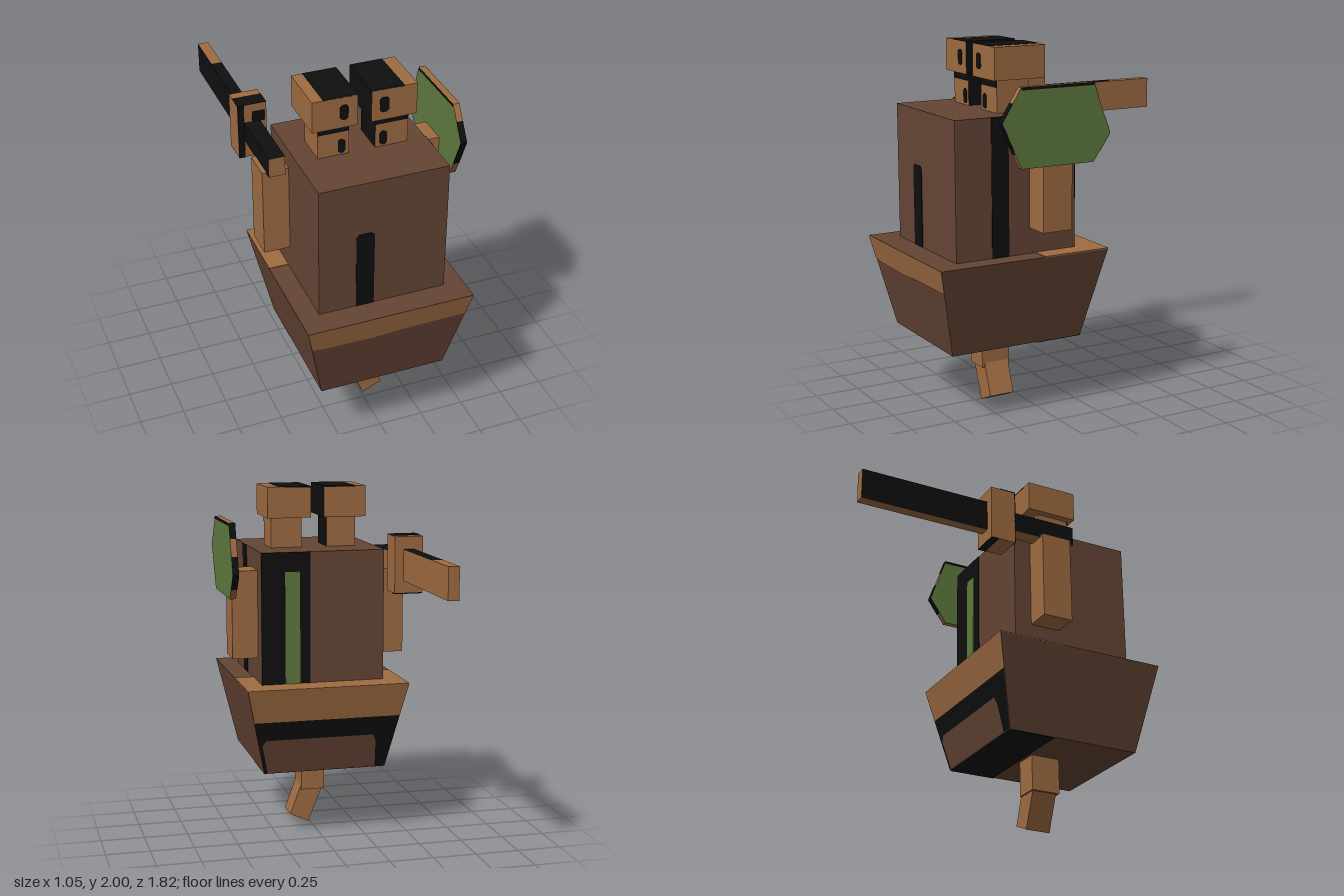
import * as THREE from 'three';

const mat = (name, color) => {
  const m = new THREE.MeshStandardMaterial({ color });
  m.name = name;
  return m;
};

export function createModel() {
  const root = new THREE.Group();
  const bark = mat('darkBrown', 0x664535);
  const wood = mat('lightBrown', 0xa06c42);
  const black = mat('black', 0x0f0f0f);
  const green = mat('green', 0x5f7b3f);

  const add = (name, geo, material, parent = root) => {
    const m = new THREE.Mesh(geo, material);
    m.name = name;
    parent.add(m);
    return m;
  };
  // Box from its limits; material may be an array in the order +x -x +y -y +z -z
  const box = (name, [x0, x1], [y0, y1], [z0, z1], material, parent) => {
    const m = add(name, new THREE.BoxGeometry(x1 - x0, y1 - y0, z1 - z0), material, parent);
    m.position.set((x0 + x1) / 2, (y0 + y1) / 2, (z0 + z1) / 2);
    return m;
  };
  const polygon = (pts) => new THREE.Shape(pts.map(([x, y]) => new THREE.Vector2(x, y)));
  // Painted plate with cut corners, facing +z
  const plate = (name, [x0, x1], [y0, y1], z, c, bottomCut = 0) => {
    const b = bottomCut;
    const s = polygon([[x0 + b, y0], [x1 - b, y0], [x1, y0 + b], [x1, y1 - c],
      [x1 - c, y1], [x0 + c, y1], [x0, y1 - c], [x0, y0 + b]]);
    const m = add(name, new THREE.ExtrudeGeometry(s, { depth: 0.004, bevelEnabled: false }), black);
    m.position.z = z;
  };

  // Tapered base
  const cx = -0.015, cz = 0.41;
  const halfX = (y) => 0.355 + (y - 0.4) * 0.22;
  const halfZ = (y) => 0.39 + (y - 0.4) * 0.22;
  const base = new THREE.BoxGeometry(2, 0.5, 2).translate(0, 0.65, 0);
  const bp = base.attributes.position;
  for (let i = 0; i < bp.count; i++) {
    const y = bp.getY(i);
    bp.setXYZ(i, cx + bp.getX(i) * halfX(y), y, cz + bp.getZ(i) * halfZ(y));
  }
  base.computeVertexNormals();
  add('base', base, bark);

  // Painted panels lying on the sloping front (side 1) or back (side -1) of the base
  const basePanel = (name, pts, side, lift, material) => {
    const g = new THREE.ShapeGeometry(polygon(pts));
    const p = g.attributes.position;
    for (let i = 0; i < p.count; i++) {
      const y = p.getY(i);
      p.setXYZ(i, cx + side * p.getX(i) * halfX(y), y, cz + side * (halfZ(y) + lift));
    }
    g.computeVertexNormals();
    add(name, g, material);
  };
  basePanel('frontBand', [[-1, 0.77], [-0.85, 0.76], [-0.2, 0.755], [0.15, 0.765],
    [0.4, 0.768], [1, 0.77], [1, 0.9], [-1, 0.9]], 1, 0.003, wood);
  basePanel('backBand', [[-1, 0.71], [1, 0.71], [1, 0.9], [-1, 0.9]], -1, 0.003, wood);
  basePanel('backDarkArea', [[-1, 0.4], [1, 0.4], [1, 0.71], [-1, 0.71]], -1, 0.003, black);
  basePanel('backPanel', [[-0.95, 0.4], [0.83, 0.4], [0.74, 0.56], [0.68, 0.6],
    [-0.88, 0.6], [-0.95, 0.57]], -1, 0.006, bark);
  box('baseTopPaint', [-0.48, 0.45], [0.897, 0.903], [-0.09, 0.3], wood);
  box('baseUndersidePaint', [-0.37, 0.34], [0.396, 0.402], [0.02, 0.29], black);

  // Peg leg with a bent lower half
  box('upperPeg', [-0.085, 0.055], [0.2, 0.4], [0.31, 0.48], wood);
  const foot = add('lowerPeg', new THREE.ExtrudeGeometry(
    polygon([[0.01, 0], [0.12, 0.05], [0.055, 0.225], [-0.08, 0.225]]),
    { depth: 0.145, bevelEnabled: false }), wood);
  foot.position.z = 0.32;

  // Body with painted stripes
  box('body', [-0.37, 0.34], [0.9, 1.65], [0.06, 0.77], bark);
  plate('frontStripe', [-0.165, -0.065], [0.9, 1.347], 0.769, 0.015);
  box('sideStripe', [0.337, 0.344], [0.9, 1.65], [0.46, 0.56], black);
  box('backStripe', [0.06, 0.34], [0.9, 1.65], [0.056, 0.062], black);
  box('backGreenStripe', [0.12, 0.205], [0.9, 1.54], [0.052, 0.059], green);

  // Pair of stacked heads; the inner faces are dark
  const heads = [
    { side: 'right', top: [-0.3, -0.055], cap: [-0.24, -0.055], neck: [-0.26, -0.09], eye: [-0.15, -0.105], low: [-0.15, -0.11], inner: 0 },
    { side: 'left', top: [0.02, 0.27], cap: [0.02, 0.2], neck: [0.055, 0.235], eye: [0.065, 0.115], low: [0.08, 0.12], inner: 1 },
  ];
  for (const h of heads) {
    const skin = Array(6).fill(wood);
    skin[h.inner] = black;
    box(h.side + 'Neck', h.neck, [1.65, 1.825], [0.28, 0.47], skin);
    box(h.side + 'Head', h.top, [1.825, 2], [0.2, 0.5], skin);
    box(h.side + 'HeadCap', h.cap, [1.995, 2.002], [0.2, 0.5], black);
    box(h.side + 'NeckBand', h.neck, [1.785, 1.825], [0.468, 0.474], black);
    plate(h.side + 'UpperEye', h.eye, [1.87, 1.955], 0.499, 0.012, 0.012);
    plate(h.side + 'LowerEye', h.low, [1.66, 1.74], 0.469, 0.012, 0.012);
  }

  // Arms
  box('rightArm', [-0.515, -0.37], [1.04, 1.54], [0.16, 0.335], wood);
  box('leftArm', [0.34, 0.487], [1.04, 1.54], [0.16, 0.335], wood);

  // Sword pointing backwards
  const sword = new THREE.Group();
  sword.name = 'sword';
  root.add(sword);
  box('handle', [-0.49, -0.4], [1.53, 1.64], [-0.02, 0.37], [wood, black, black, wood, wood, wood], sword);
  box('guard', [-0.525, -0.365], [1.43, 1.745], [-0.165, -0.02], wood, sword);
  box('guardTopPaint', [-0.525, -0.365], [1.742, 1.748], [-0.11, -0.02], black, sword);
  box('guardBottomPaint', [-0.525, -0.365], [1.427, 1.433], [-0.165, -0.12], black, sword);
  box('guardFrontStripe', [-0.525, -0.49], [1.43, 1.745], [-0.022, -0.016], black, sword);
  box('guardFrontSpot', [-0.445, -0.375], [1.64, 1.7], [-0.022, -0.016], black, sword);
  box('blade', [-0.475, -0.415], [1.5, 1.675], [-0.65, -0.16], [wood, black, black, wood, wood, wood], sword);
  box('bladeTip', [-0.475, -0.415], [1.5, 1.675], [-0.91, -0.65], [wood, black, wood, wood, wood, wood], sword);

  // Hexagonal shield: corners as [z, y]
  const shield = new THREE.Group();
  shield.name = 'shield';
  root.add(shield);
  const F = [0.59, 1.645], TF = [0.48, 1.82], TB = [0.05, 1.82];
  const B = [-0.05, 1.545], BB = [0.05, 1.4], BF = [0.48, 1.4];
  const disc = new THREE.ExtrudeGeometry(
    polygon([F, BF, BB, B, TB, TF].map(([z, y]) => [-z, y])),
    { depth: 0.035, bevelEnabled: false }).rotateY(Math.PI / 2);
  add('shieldPlate', disc, [green, wood], shield).position.x = 0.485;
  // Dark marks along parts of the rim
  const rim = [[F, TF, 0, 0.55], [F, BF, 0, 0.68], [B, TB, 0, 0.35], [B, TB, 0.7, 1], [B, BB, 0, 0.6]];
  for (const [a, b, t0, t1] of rim) {
    const dz = b[0] - a[0], dy = b[1] - a[1], t = (t0 + t1) / 2;
    const m = add('rimMark', new THREE.BoxGeometry(0.035, 0.005, Math.hypot(dz, dy) * (t1 - t0)), black, shield);
    m.position.set(0.5025, a[1] + dy * t, a[0] + dz * t);
    m.rotation.x = -Math.atan2(dy, dz);
  }
  for (const x of [0.485, 0.52]) {
    box('shieldTopLine', [x - 0.002, x + 0.002], [1.805, 1.819], [0.05, 0.48], black, shield);
  }
  return root;
}
